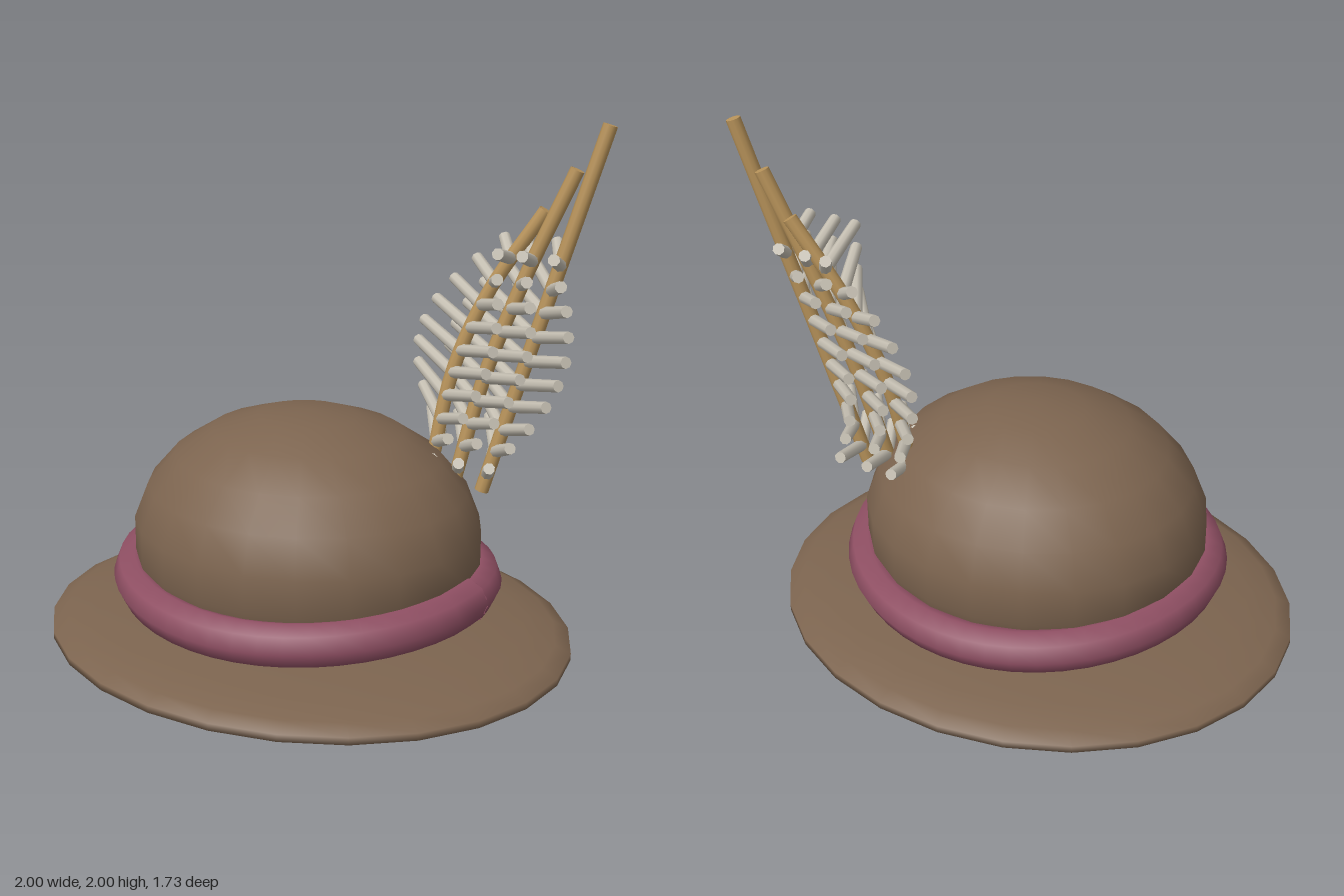
import * as THREE from 'three';

const mat = (name, color, side = THREE.FrontSide) => {
  const m = new THREE.MeshStandardMaterial({ color, side });
  m.name = name;
  return m;
};
const V = (x, y, z) => new THREE.Vector3(x, y, z);

export function createModel() {
  const felt = mat('brown felt', 0x7c644f);
  const ribbon = mat('plum ribbon', 0x8f4f63, THREE.DoubleSide);
  const quillTan = mat('quill tan', 0xb8935a, THREE.DoubleSide);
  const barbGrey = mat('barb grey', 0xc6c0b3);

  const model = new THREE.Group();
  model.name = 'featheredHat';

  const add = (parent, name, geometry, material) => {
    const mesh = new THREE.Mesh(geometry, material);
    mesh.name = name;
    parent.add(mesh);
    return mesh;
  };

  // Squashed sphere, used for both felt parts
  const ellipsoid = (name, y, rx, ry, rz, sides, rows) => {
    const g = new THREE.SphereGeometry(1, sides, rows).scale(rx, ry, rz).translate(0, y, 0);
    add(model, name, g, felt);
  };

  // Tube along a curve, closed with a disc at each end
  const cappedTube = (parent, name, curve, steps, radius, sides, material) => {
    const group = new THREE.Group();
    group.name = name;
    parent.add(group);
    add(group, name + 'Body', new THREE.TubeGeometry(curve, steps, radius, sides), material);
    for (const [t, dir] of [[0, -1], [1, 1]]) {
      const cap = add(group, name + 'End', new THREE.CircleGeometry(radius * 0.98, sides), material);
      cap.position.copy(curve.getPointAt(t));
      cap.quaternion.setFromUnitVectors(V(0, 0, 1), curve.getTangentAt(t).multiplyScalar(dir));
    }
  };

  ellipsoid('brim', 0.112, 1.007, 0.11, 0.877, 26, 13);
  ellipsoid('crown', 0.47, 0.657, 0.48, 0.605, 22, 11);

  // Hat band: one turn, dipping at front and back, with a small step at the seam
  const turn = [];
  for (let i = 0; i <= 24; i++) {
    const a = (i / 24) * Math.PI * 2;
    const drop = 0.015 * (i / 24);
    turn.push(V((0.657 - drop * 0.6) * Math.cos(a), 0.329 + 0.021 * Math.cos(2 * a) - drop, 0.607 * Math.sin(a)));
  }
  cappedTube(model, 'band', new THREE.CatmullRomCurve3(turn), 48, 0.079, 8, ribbon);

  // Feather: three quills, the outer one straight, the others bending outward
  const feather = new THREE.Group();
  feather.name = 'feather';
  model.add(feather);
  const quills = [
    [V(0.58, 0.66, -0.26), V(0.69, 1.08, -0.314), V(0.81, 1.53, -0.372), V(0.93, 1.98, -0.43)],
    [V(0.47, 0.68, -0.265), V(0.55, 1.08, -0.33), V(0.66, 1.42, -0.38), V(0.82, 1.82, -0.435)],
    [V(0.37, 0.7, -0.27), V(0.42, 1.07, -0.33), V(0.525, 1.36, -0.38), V(0.71, 1.67, -0.44)],
  ];

  // Straight barb between two points
  const barb = (from, to) => {
    const d = to.clone().sub(from);
    const mesh = add(feather, 'barb', new THREE.CylinderGeometry(0.021, 0.023, d.length(), 8), barbGrey);
    mesh.position.copy(from).addScaledVector(d, 0.5);
    mesh.quaternion.setFromUnitVectors(V(0, 1, 0), d.normalize());
  };

  const rows = 10;
  for (const points of quills) {
    const curve = new THREE.CatmullRomCurve3(points);
    cappedTube(feather, 'quill', curve, 16, 0.026, 10, quillTan);

    const samples = curve.getPoints(200);
    for (let i = 0; i < rows; i++) {
      const t = i / (rows - 1);
      const y = 0.72 + 0.77 * t;
      const root = samples.find((p) => p.y >= y);
      const reach = 0.055 + 0.155 * Math.sin(Math.PI * t);
      // Each pair rises away from the quill: one back and right, one front and left
      barb(root, V(root.x - reach, root.y + 0.065, -0.47));
      barb(root, V(root.x + reach, root.y + 0.065, -0.155));
    }
  }

  return model;
}
